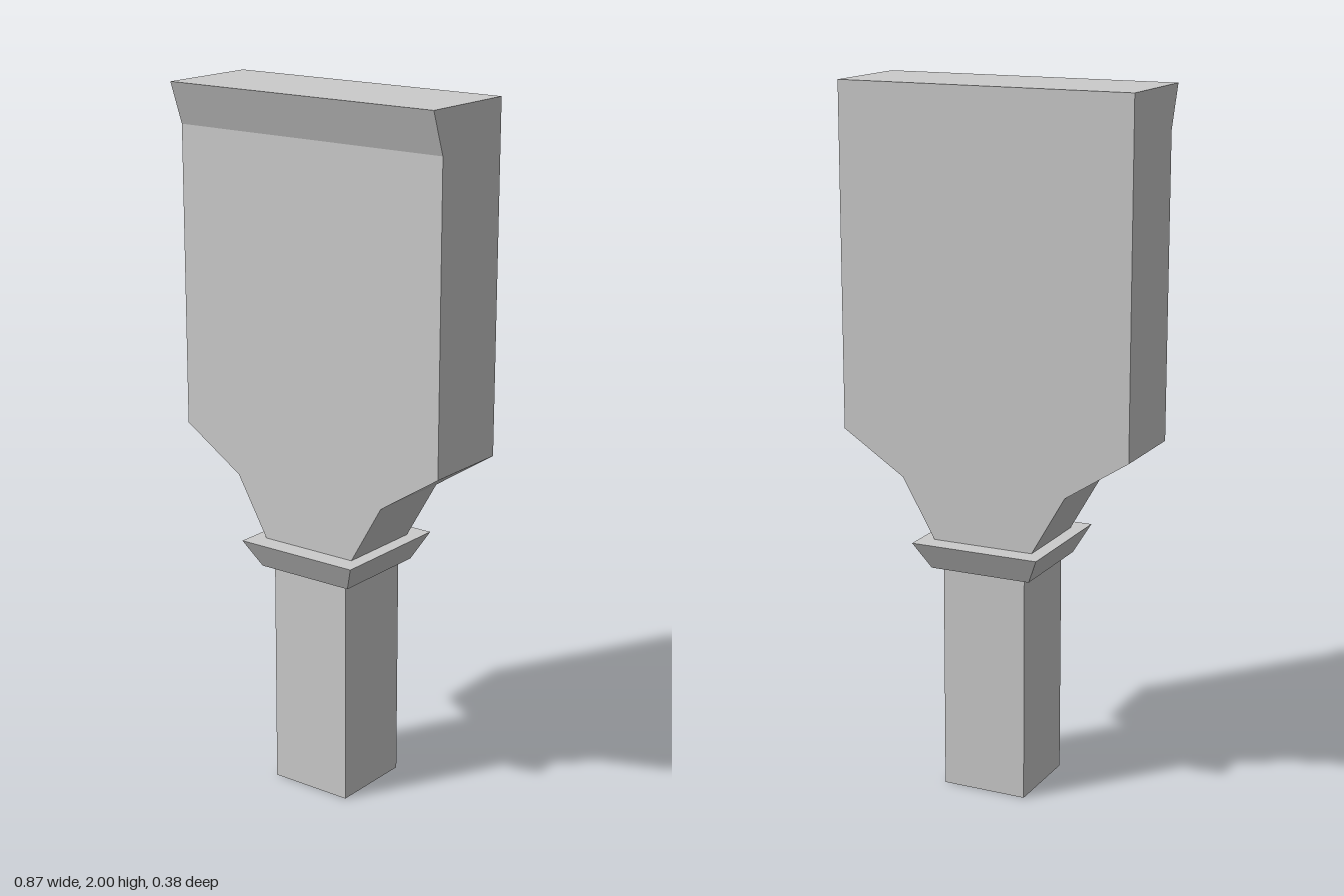
import * as THREE from 'three';

const HALF_W = 0.433, HALF_D = 0.132, LIP_Y = 1.88;

const material = new THREE.MeshStandardMaterial({ color: 0xcccccc, flatShading: true });

function part(name, geometry) {
  const mesh = new THREE.Mesh(geometry, material);
  mesh.name = name;
  return mesh;
}

// Extrudes a closed 2D outline, centred on its depth
function slab(points, depth) {
  const shape = new THREE.Shape(points.map(([x, y]) => new THREE.Vector2(x, y)));
  return new THREE.ExtrudeGeometry(shape, { depth, bevelEnabled: false }).translate(0, 0, -depth / 2);
}

export function createModel() {
  const group = new THREE.Group();

  // Square handle
  group.add(part('handle', new THREE.BoxGeometry(0.25, 0.66, 0.25).translate(0, 0.33, 0)));

  // Square collar, flaring upwards
  const collar = new THREE.CylinderGeometry(0.19 * Math.SQRT2, 0.15 * Math.SQRT2, 0.078, 4)
    .rotateY(Math.PI / 4).translate(0, 0.696, 0);
  group.add(part('collar', collar));

  // Flat head with shoulders tapering in two steps to the collar
  const side = [[0.15, 0.735], [0.248, 0.905], [HALF_W, 1.025], [HALF_W, LIP_Y]];
  const outline = [...side, ...side.map(([x, y]) => [-x, y]).reverse()];
  group.add(part('head', slab(outline, 2 * HALF_D)));

  // Top rim with a lip leaning forward, its profile swept across the width
  const rim = slab([[-HALF_D, LIP_Y], [HALF_D, LIP_Y], [0.175, 2], [-HALF_D, 2]], 2 * HALF_W)
    .rotateY(-Math.PI / 2);
  group.add(part('topLip', rim));

  return group;
}
